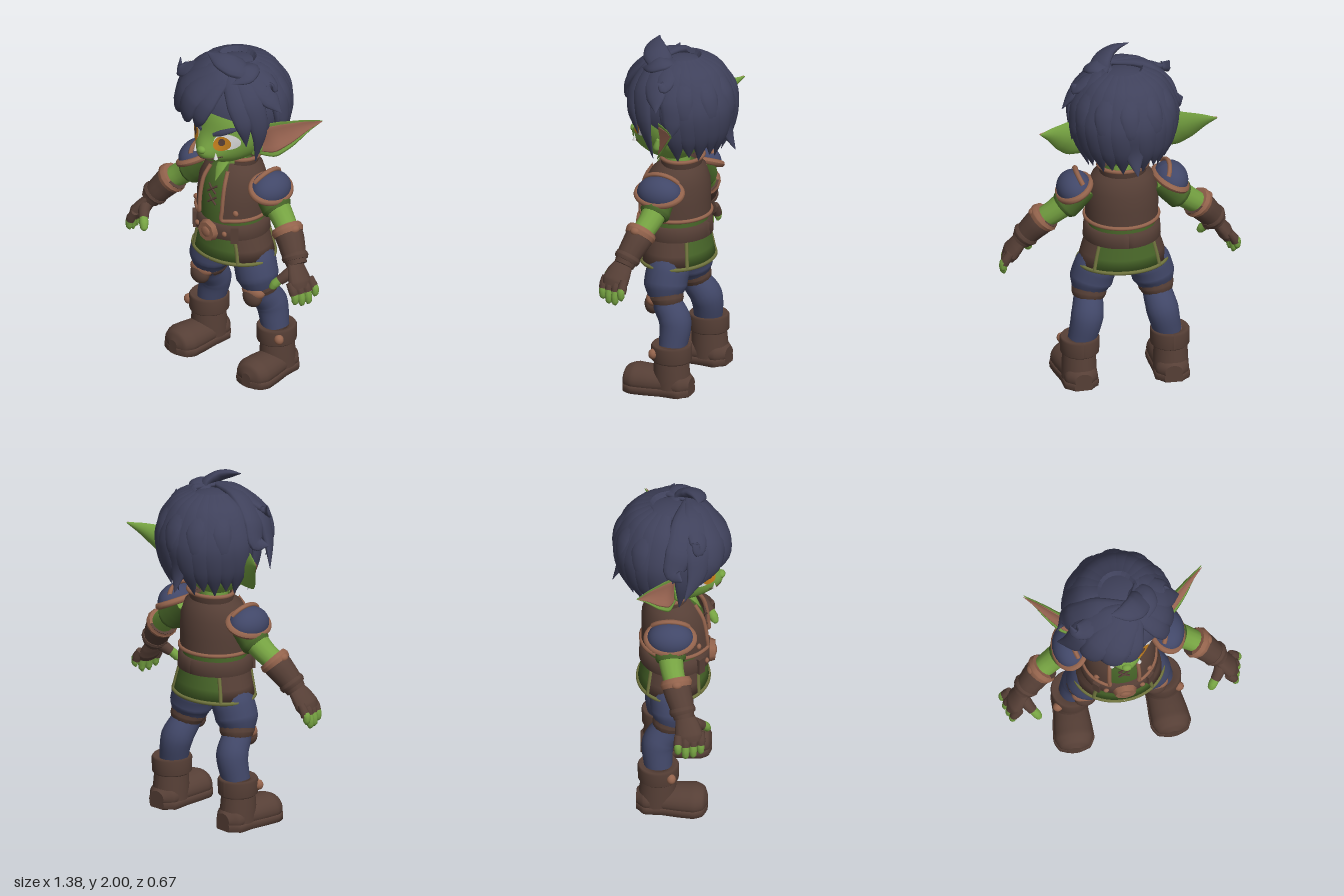
import * as THREE from 'three';

const V = (a) => new THREE.Vector3(...a);
const mat = (name, color, side = THREE.FrontSide) => {
  const m = new THREE.MeshStandardMaterial({ color, side });
  m.name = name;
  return m;
};

export function createModel() {
  const skin = mat('skin green', 0x76a342), tunic = mat('tunic green', 0x486629), olive = mat('olive trim', 0x70743e);
  const hair = mat('hair navy', 0x3f415b, THREE.DoubleSide), cloth = mat('trouser blue', 0x414768);
  const brown = mat('leather brown', 0x563f36, THREE.DoubleSide), copper = mat('copper trim', 0x93634c);
  const pink = mat('inner ear', 0xa46c58), amber = mat('amber', 0xc07c1c), white = mat('white', 0xdedede);
  const model = new THREE.Group();

  const part = (name, geo, material, parent = model) => {
    const m = new THREE.Mesh(geo, material);
    m.name = name;
    parent.add(m);
    return m;
  };
  const ball = (name, pos, r, material, parent) => {
    const g = new THREE.SphereGeometry(1, 24, 16).scale(...r);
    return part(name, g.translate(...pos), material, parent);
  };
  const tube = (name, pts, r, material, parent, seg = pts.length * 5) =>
    part(name, new THREE.TubeGeometry(new THREE.CatmullRomCurve3(pts), seg, r, 7), material, parent);

  // Elliptical sweep along a path: half width per path point, flat = thickness ratio, cup = hollow front.
  function sweep(pts, widths, { flat = 1, out = V([0, 0, 1]), cup = 0, seg = 18, rad = 14 } = {}) {
    const curve = new THREE.CatmullRomCurve3(pts), pos = [], idx = [];
    const ring = (t) => {
      const p = curve.getPoint(t), T = curve.getTangent(t);
      const N = (typeof out === 'function' ? out(p) : out.clone());
      N.addScaledVector(T, -N.dot(T)).normalize();
      const W = T.clone().cross(N), f = t * (widths.length - 1), k = Math.min(Math.floor(f), widths.length - 2);
      const s = f - k, w = widths[k] + (widths[k + 1] - widths[k]) * s;
      for (let j = 0; j < rad; j++) {
        const a = (j / rad) * Math.PI * 2, c = Math.cos(a);
        const q = p.clone().addScaledVector(W, w * c).addScaledVector(N, w * (flat * Math.sin(a) + cup * c * c));
        pos.push(q.x, q.y, q.z);
      }
      return p;
    };
    for (let i = 0; i <= seg; i++) ring(i / seg);
    for (let i = 0; i < seg; i++) for (let j = 0; j < rad; j++) {
      const a = i * rad + j, b = i * rad + (j + 1) % rad;
      idx.push(a, a + rad, b, b, a + rad, b + rad);
    }
    for (const t of [0, 1]) {
      const base = pos.length / 3, p = ring(t);
      pos.push(p.x, p.y, p.z);
      for (let j = 0; j < rad; j++) {
        const e = [base + j, base + (j + 1) % rad];
        idx.push(base + rad, e[t ? 1 : 0], e[t ? 0 : 1]);
      }
    }
    const g = new THREE.BufferGeometry();
    g.setAttribute('position', new THREE.Float32BufferAttribute(pos, 3));
    g.setIndex(idx);
    g.computeVertexNormals();
    return g;
  }
  const limb = (name, pts, w, material, parent, opt) => part(name, sweep(pts.map(V), w, opt), material, parent);
  const reshape = (g, fn) => {
    const p = g.attributes.position;
    for (let i = 0; i < p.count; i++) p.setXYZ(i, ...fn(p.getX(i), p.getY(i), p.getZ(i), i));
    g.computeVertexNormals();
    return g;
  };

  // Oval lathe; rows are [y, half width, half depth, z centre].
  const shell = (rows, from = Math.PI, len = Math.PI * 2, cx = 0, seg = 40) =>
    reshape(new THREE.LatheGeometry(rows.map((r) => new THREE.Vector2(r[1], r[0])), seg, from, len), (x, y, z, i) => {
      const r = rows[i % rows.length];
      return [x + cx, y, z * r[2] / r[1] + r[3]];
    });
  const onShell = (rows, y, phi, off = 0) => {
    let k = 0;
    while (k < rows.length - 2 && y > rows[k + 1][0]) k++;
    const s = (y - rows[k][0]) / (rows[k + 1][0] - rows[k][0]);
    const [rx, rz, cz] = [1, 2, 3].map((c) => rows[k][c] + (rows[k + 1][c] - rows[k][c]) * s);
    return V([(rx + off) * Math.sin(phi), y, (rz + off) * Math.cos(phi) + cz]);
  };
  const arc = (rows, y, a, b, n, off) => Array.from({ length: n + 1 }, (_, i) => onShell(rows, y, a + (b - a) * i / n, off));

  // Head with projecting muzzle
  const bump = (x, y) => 0.1 * Math.exp(-(((y - 1.4) / 0.09) ** 2) - (x / 0.12) ** 2);
  const faceZ = (x, y) => 0.03 + 0.2 * Math.sqrt(Math.max(0, 1 - (x / 0.225) ** 2 - ((y - 1.55) / 0.24) ** 2)) + bump(x, y);
  part('head', reshape(new THREE.SphereGeometry(1, 48, 36), (x, y, z) => {
    const X = x * 0.225, Y = 1.55 + y * 0.24;
    return [X, Y, 0.03 + 0.2 * z + bump(X, Y) * Math.min(1, Math.max(0, z * 3))];
  }), skin);
  ball('nose', [0, 1.445, 0.285], [0.028, 0.022, 0.022], skin);
  limb('neck', [[0, 1.2, 0.01], [0, 1.28, 0.02], [0, 1.4, 0.03]], [0.08, 0.075, 0.08], skin);
  const onFace = (x, y, d = 0.002) => V([x, y, faceZ(x, y) + d]);
  tube('mouth', [[-0.1, 1.412], [-0.05, 1.397], [0, 1.394], [0.05, 1.397], [0.1, 1.412]].map((p) => onFace(...p, 0)), 0.004, brown);

  // Hair: cap plus locks laid over it; lock points are [angle, height, spread]
  part('hairCap', new THREE.SphereGeometry(1, 40, 24, 0, Math.PI * 2, 0, Math.PI * 0.6)
    .rotateX(-0.5).scale(0.28, 0.27, 0.285).translate(0, 1.65, -0.005), hair);
  const onHair = ([deg, y, k = 1]) => {
    const d = y - 1.65, a = deg * Math.PI / 180;
    const r = k * (d > 0 ? Math.sqrt(Math.max(0, 1 - (d / 0.29) ** 2)) : 1 - 0.3 * (d / 0.28) ** 2);
    return V([0.285 * r * Math.sin(a), y, 0.295 * r * Math.cos(a)]);
  };
  const outward = (p) => p.clone().sub(V([0, 1.62, 0]));
  const lock = (pts, w) => part('hairLock', sweep(pts, [0.5, 0.95, 1, 0.75, 0.03].map((f) => f * w), { flat: 0.42, out: outward }), hair);
  const crown = [30, 1.91];
  [
    [[15, 1.87], [6, 1.76, 1.05], [0, 1.66, 1.06], [-8, 1.58, 1.02], 0.07],
    [[8, 1.88], [-12, 1.77, 1.1], [-18, 1.66, 1.1], [-32, 1.57, 1.04], 0.085],
    [[-5, 1.89], [-32, 1.78, 1.1], [-42, 1.66, 1.12], [-56, 1.55, 1.1], 0.085],
    [[-30, 1.89], [-55, 1.78, 1.08], [-62, 1.65, 1.13], [-76, 1.52, 1.4], 0.085],
    [[-60, 1.89], [-78, 1.78, 1.05], [-84, 1.68, 1.1], [-78, 1.66, 1.3], 0.08],
    [[-40, 1.9], [-52, 1.84, 1.15], [-60, 1.82, 1.35], [-66, 1.87, 1.75], 0.06],
    [[-70, 1.87], [-72, 1.74], [-74, 1.56], [-76, 1.37, 1.15], 0.06],
    [[38, 1.87], [46, 1.76, 1.03], [52, 1.64, 1.06], [56, 1.5, 1.05], 0.06],
    [[55, 1.88], [64, 1.77, 1.04], [70, 1.6, 1.04], [72, 1.37, 1.15], 0.07],
    [[70, 1.89], [80, 1.82, 1.05], [86, 1.76, 1.12], [90, 1.7, 1.24], 0.075],
    [[85, 1.9], [92, 1.86, 1.1], [92, 1.83, 1.2], [88, 1.85, 1.42], 0.06],
    [[100, 1.88], [104, 1.74, 1.02], [104, 1.62, 1.06], [102, 1.54, 1.15], 0.075],
  ].forEach((row) => lock([crown, ...row.slice(0, 4)].map(onHair), row[4]));
  for (let i = 0; i < 11; i++) { // back curtain, alternating lengths
    const a = 105 + i * 15, end = 1.37 + 0.03 * (i % 2);
    lock([[a, 1.92], [a, 1.85], [a, 1.68, 1.0], [a + 2, 1.52, 1.02], [a + 4, end, i === 5 ? 1.45 : 1.1]].map(onHair), 0.08);
    if (i % 2) lock([[a, 1.92], [a, 1.87, 1.02], [a - 4, 1.76, 1.05], [a - 2, 1.65, 1.05], [a, 1.55, 1.02]].map(onHair), 0.06);
  }
  lock([[0.1, 1.82, -0.02], [0.12, 1.91, 0.06], [0.08, 1.95, 0.12], [0.02, 1.975, 0.15], [-0.07, 1.995, 0.16]].map(V), 0.075);
  lock([[0.05, 1.86, -0.02], [0.1, 1.91, 0.02], [0.15, 1.92, 0.05], [0.17, 1.9, 0.1], [0.13, 1.87, 0.18]].map(V), 0.06);

  // Tunic body, vest and collar
  part('tunicBody', shell([[0.86, 0.195, 0.17, 0.02], [1, 0.19, 0.175, 0.025], [1.15, 0.185, 0.165, 0.02], [1.25, 0.16, 0.13, 0.01], [1.3, 0.07, 0.06, 0.01]]), tunic);
  const vest = [[0.99, 0.205, 0.195, 0.03], [1.08, 0.207, 0.192, 0.027], [1.18, 0.2, 0.182, 0.02], [1.26, 0.17, 0.148, 0.01], [1.3, 0.11, 0.105, 0.005]];
  const open = 0.42, turn = Math.PI * 2;
  part('vest', shell(vest, open, turn - open * 2), brown);
  const edge = [1.27, 1.2, 1.12, 1.05].map((y) => onShell(vest, y, open, 0.003));
  tube('vestTrim', [...edge, ...arc(vest, 0.992, open, turn - open, 24, 0.002),
    ...edge.map((p) => V([-p.x, p.y, p.z])).reverse()], 0.012, copper, model, 140);
  const collar = [[1.24, 0.12, 0.105, 0], [1.33, 0.145, 0.12, -0.01], [1.33, 0.13, 0.105, -0.01], [1.25, 0.1, 0.085, 0]];
  part('collar', shell(collar, 0.55, turn - 1.1), brown);
  tube('collarTrim', arc([collar[0], collar[1]], 1.328, 0.55, turn - 0.55, 24, -0.005), 0.012, copper);
  limb('neckOpening', [[0, 1.31, 0.09], [0, 1.26, 0.135], [0, 1.2, 0.17]], [0.04, 0.028, 0.002], skin, model, { flat: 0.3 });
  for (const y of [1.09, 1.16]) for (const s of [-1, 1])
    tube('lacing', [V([-0.03 * s, y - 0.022, 0.2]), V([0, y, 0.197]), V([0.03 * s, y + 0.022, 0.188])], 0.006, brown);

  // Skirt of the tunic: green front and back, leather sides, olive edging
  const skirt = [[0.75, 0.03, 0.03, 0.015], [0.715, 0.255, 0.2, 0.015], [0.79, 0.235, 0.19, 0.018], [0.9, 0.2, 0.18, 0.025]];
  const outer = skirt.slice(1);
  [[-0.72, 1.44, tunic], [0.72, 1.6, brown], [2.32, 1.64, tunic], [3.96, 1.6, brown]].forEach(([a, l, m]) => {
    part('skirtPanel', shell(skirt, a, l, 0, 14), m);
    tube('skirtSeam', [0.72, 0.79, 0.87].map((y) => onShell(outer, y, a, 0.001)), 0.011, olive);
  });
  tube('skirtHem', arc(outer, 0.72, 0, turn, 32, 0), 0.011, olive);

  // Belt and buckle
  const belt = [[0.865, 0.2, 0.18, 0.025], [0.87, 0.22, 0.203, 0.025], [0.945, 0.216, 0.2, 0.025], [0.95, 0.19, 0.17, 0.025]];
  part('belt', shell(belt), brown);
  part('buckle', new THREE.CylinderGeometry(0.058, 0.068, 0.03, 8).rotateX(Math.PI / 2).translate(0, 0.905, 0.235), copper);
  ball('buckleBoss', [0, 0.905, 0.248], [0.032, 0.032, 0.012], copper);

  // Left half, mirrored below
  const side = new THREE.Group();
  side.name = 'leftSide';
  const earPath = [[0.17, 1.47, 0.02], [0.26, 1.505, -0.01], [0.34, 1.55, -0.06], [0.43, 1.605, -0.12], [0.505, 1.64, -0.168]];
  const earOut = V([0.42, 0, 0.9]).normalize();
  const earW = [0.08, 0.108, 0.082, 0.038, 0.003];
  limb('ear', earPath, earW, skin, side, { flat: 0.14, out: earOut, cup: 0.36 });
  const inner = sweep(earPath.slice(0, 5).map(V), earW.map((w) => w * 0.76), { flat: 0.16, out: earOut, cup: 0.28 });
  part('innerEar', inner.translate(earOut.x * 0.009, 0, earOut.z * 0.009), pink, side);
  limb('earRoot', [[0.19, 1.4, 0.06], [0.22, 1.44, 0.05], [0.225, 1.49, 0.04]], [0.012, 0.022, 0.01], skin, side);
  const patch = (name, cx, cy, rx, ry, d, m) => part(name, reshape(new THREE.RingGeometry(0.001, 1, 28, 6), (x, y) => {
    const p = onFace(cx + x * rx, cy + y * ry, d);
    return [p.x, p.y, p.z];
  }), m, side);
  patch('eyeWhite', 0.118, 1.507, 0.062, 0.05, 0.003, white);
  patch('iris', 0.1, 1.497, 0.042, 0.043, 0.006, amber);
  patch('pupil', 0.1, 1.507, 0.017, 0.022, 0.008, brown);
  const brow = [[0.045, 1.54], [0.09, 1.56], [0.14, 1.583], [0.19, 1.6]].map((p) => onFace(...p, 0.004));
  part('eyebrow', sweep(brow, [0.01, 0.018, 0.015, 0.003], { flat: 0.6 }), hair, side);
  const tusk = onFace(0.077, 1.415, 0.004);
  part('tusk', new THREE.ConeGeometry(0.013, 0.042, 10).translate(tusk.x, tusk.y + 0.006, tusk.z), white, side);

  // Shoulder pad
  const pad = new THREE.Group();
  pad.name = 'shoulderPad';
  pad.position.set(0.275, 1.19, 0.01);
  pad.rotation.z = -0.45;
  side.add(pad);
  part('padDome', new THREE.SphereGeometry(1, 28, 12, 0, turn, 0, Math.PI / 2).scale(0.1, 0.1, 0.13), cloth, pad);
  part('padRim', new THREE.TorusGeometry(1, 0.16, 8, 36).rotateX(Math.PI / 2).scale(0.1, 0.12, 0.13), copper, pad);
  part('padTopBand', new THREE.TorusGeometry(0.112, 0.014, 8, 20, Math.PI * 0.7).rotateZ(Math.PI * 0.15).rotateY(Math.PI / 2)
    .scale(1, 0.8, 1).translate(-0.055, 0.005, 0), copper, pad);

  // Arm, bracer and hand
  limb('arm', [[0.2, 1.2, 0], [0.3, 1.12, 0.01], [0.38, 1.05, 0.025], [0.46, 0.98, 0.055], [0.55, 0.86, 0.1]], [0.07, 0.075, 0.066, 0.06, 0.05], skin, side);
  limb('sleeve', [[0.2, 1.2, 0], [0.28, 1.13, 0.01], [0.325, 1.09, 0.014], [0.34, 1.077, 0.016]], [0.07, 0.082, 0.088, 0.078], tunic, side);
  limb('bracer', [[0.425, 1.015, 0.045], [0.47, 0.965, 0.06], [0.52, 0.9, 0.085], [0.56, 0.845, 0.1]], [0.083, 0.08, 0.07, 0.058], brown, side);
  limb('bracerCuff', [[0.425, 1.015, 0.045], [0.44, 1, 0.05], [0.455, 0.982, 0.055]], [0.083, 0.092, 0.085], copper, side);
  limb('wristStrap', [[0.525, 0.895, 0.086], [0.535, 0.882, 0.09], [0.545, 0.867, 0.095]], [0.072, 0.077, 0.07], brown, side);
  ball('bracerStud', [0.495, 1.035, 0.055], [0.032, 0.026, 0.034], copper, side);
  limb('glovePalm', [[0.545, 0.86, 0.1], [0.58, 0.81, 0.118], [0.61, 0.765, 0.13], [0.625, 0.735, 0.135]], [0.052, 0.07, 0.08, 0.068], brown, side, { flat: 0.55, out: V([1, 0.3, 0]) });
  for (let i = 0; i < 4; i++) {
    const z = 0.07 + i * 0.042, x = 0.012 * (1.5 - i), y = 0.012 * (i === 0 ? 3 : i === 3 ? 1.5 : 0);
    limb('fingerGlove', [[0.61 + x, 0.78, z], [0.635 + x, 0.74, z], [0.645 + x, 0.715, z]], [0.022, 0.027, 0.025], brown, side, { seg: 6, rad: 10 });
    limb('finger', [[0.635 + x, 0.74, z], [0.65 + x, 0.69 + y, z], [0.652 + x, 0.655 + y, z], [0.646 + x, 0.637 + y, z]], [0.021, 0.023, 0.019, 0.005], skin, side, { seg: 9, rad: 10 });
  }
  limb('thumbGlove', [[0.565, 0.83, 0.13], [0.545, 0.8, 0.17], [0.52, 0.77, 0.2]], [0.035, 0.033, 0.028], brown, side);
  limb('thumb', [[0.53, 0.785, 0.19], [0.502, 0.75, 0.218], [0.49, 0.725, 0.228], [0.487, 0.712, 0.228]], [0.024, 0.026, 0.02, 0.004], skin, side);

  // Trousers and knee pad
  limb('trouserLeg', [[0.1, 0.78, 0], [0.15, 0.69, 0.01], [0.178, 0.6, 0.015], [0.195, 0.51, 0], [0.215, 0.41, -0.06], [0.245, 0.27, -0.06]],
    [0.1, 0.122, 0.122, 0.082, 0.092, 0.08], cloth, side, { seg: 30, rad: 20 });
  limb('kneeStrap', [[0.19, 0.55, 0.008], [0.194, 0.53, 0.003], [0.198, 0.505, 0]], [0.102, 0.1, 0.088], brown, side);
  ball('kneePadRim', [0.197, 0.525, 0.068], [0.078, 0.048, 0.048], copper, side);
  ball('kneePad', [0.2, 0.493, 0.08], [0.062, 0.062, 0.046], brown, side);

  // Boot: cuff, shaft, foot and sole
  const cuff = [[0.2, 0.08, 0.08, -0.058], [0.19, 0.1, 0.105, -0.058], [0.2, 0.11, 0.115, -0.058], [0.28, 0.112, 0.116, -0.058], [0.292, 0.104, 0.108, -0.058], [0.28, 0.07, 0.07, -0.058]];
  part('bootCuff', shell(cuff, Math.PI, turn, 0.258), brown, side);
  part('bootShaft', shell([[0.04, 0.1, 0.11, -0.065], [0.12, 0.098, 0.105, -0.06], [0.22, 0.092, 0.096, -0.058]], Math.PI, turn, 0.262), brown, side);
  const footPath = (y) => [[0.258, y, -0.18], [0.26, y, -0.13], [0.264, y, -0.03], [0.271, y, 0.07], [0.276, y, 0.15], [0.279, y, 0.2], [0.28, y, 0.22]].map(V);
  const footW = [0.05, 0.096, 0.094, 0.105, 0.11, 0.084, 0.03], up = V([0, 1, 0]);
  const clampY = (g, lo, hi) => reshape(g, (x, y, z) => [x, Math.min(hi, Math.max(lo, y)), z]);
  part('bootFoot', clampY(sweep(footPath(0.06), footW, { flat: 0.82, out: up, seg: 26, rad: 24 }), 0.03, 1), brown, side);
  part('bootSole', clampY(sweep(footPath(0.025), footW.map((w) => w * 1.06), { out: up, seg: 26, rad: 24 }), 0, 0.042), brown, side);
  ball('bootStud', [0.345, 0.245, 0.018], [0.028, 0.03, 0.026], copper, side);

  // Small fittings on vest and belt
  const stud = onShell(vest, 1.04, 0.8, 0.002), loop = onShell([belt[1], belt[2]], 0.908, 0.75, 0.004);
  ball('vestStud', stud.toArray(), [0.018, 0.018, 0.014], copper, side);
  part('beltLoop', new THREE.BoxGeometry(0.045, 0.1, 0.022).rotateY(0.75).translate(...loop.toArray()), brown, side);
  ball('beltStud', onShell([belt[1], belt[2]], 0.908, 0.48, 0.004).toArray(), [0.016, 0.016, 0.012], copper, side);
  ball('hips', [0, 0.76, 0], [0.19, 0.1, 0.15], cloth);

  // Bake the mirrored right half with corrected winding
  side.updateMatrixWorld(true);
  const right = new THREE.Group();
  right.name = 'rightSide';
  side.traverse((o) => {
    if (!o.isMesh) return;
    const g = o.geometry.clone().applyMatrix4(o.matrixWorld).scale(-1, 1, 1), ix = g.index.array;
    for (let i = 0; i < ix.length; i += 3) [ix[i], ix[i + 1]] = [ix[i + 1], ix[i]];
    g.computeVertexNormals();
    part(o.name, g, o.material, right);
  });
  model.add(side, right);
  return model;
}
